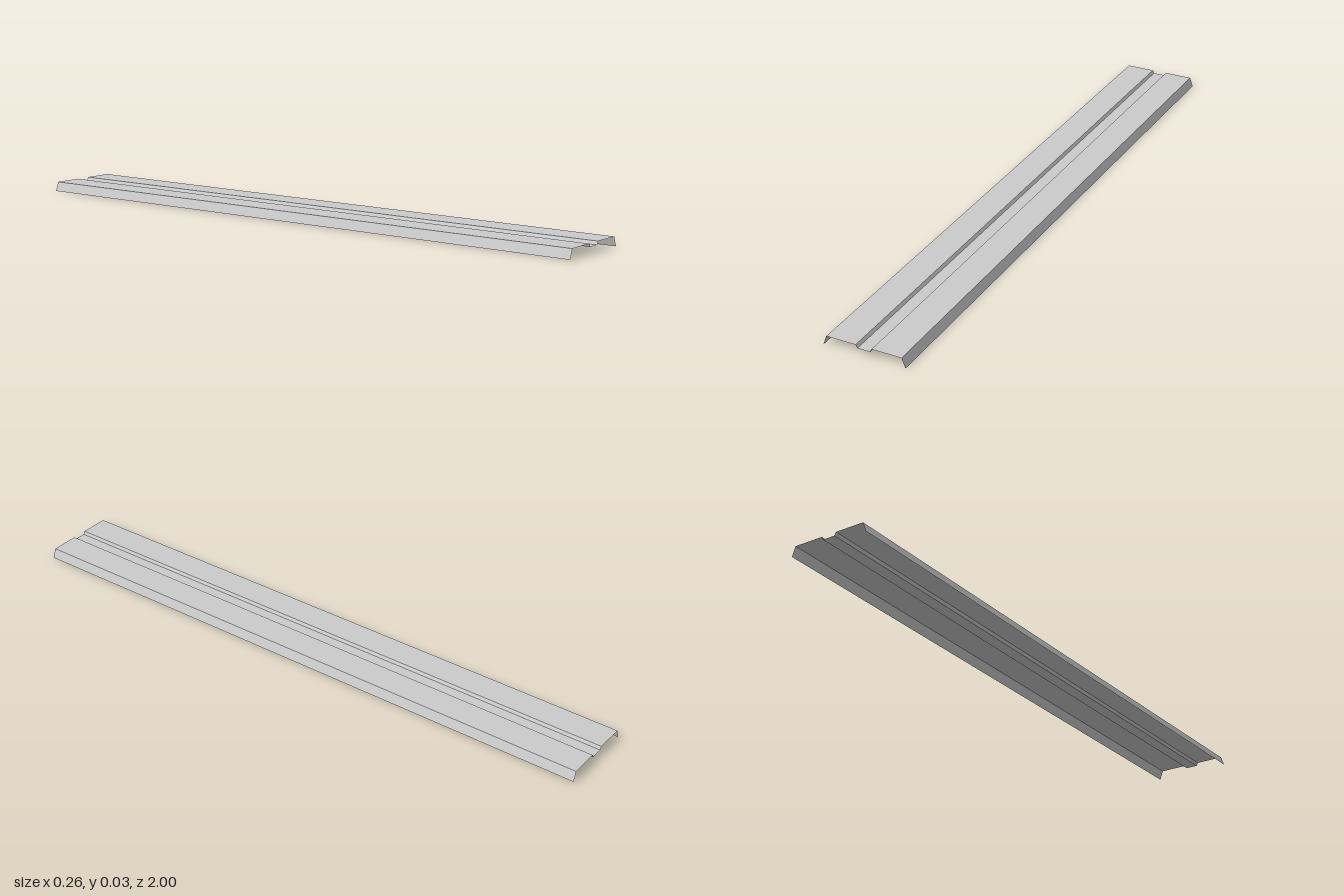
import * as THREE from 'three';

const LENGTH = 2;

// Half of the folded sheet's cross-section, from the outer lip to the groove floor
const HALF = [[0.129, 0], [0.118, 0.03], [0.025, 0.03], [0.02, 0.02]];

// Flat strip between two profile points, swept along z
function strip(name, [x0, y0], [x1, y1], material) {
  const h = LENGTH / 2;
  const geometry = new THREE.BufferGeometry();
  geometry.setAttribute('position', new THREE.Float32BufferAttribute(
    [x0, y0, h, x1, y1, h, x1, y1, -h, x0, y0, -h], 3));
  geometry.setIndex([0, 1, 2, 0, 2, 3]);
  geometry.computeVertexNormals();
  const mesh = new THREE.Mesh(geometry, material);
  mesh.name = name;
  return mesh;
}

export function createModel() {
  const group = new THREE.Group();
  group.name = 'foldedSheetSlat';
  const material = new THREE.MeshStandardMaterial({
    color: 0xcccccc, flatShading: true, side: THREE.DoubleSide,
  });

  // Profile runs left to right (-x to +x) so that front faces point up
  const profile = [...HALF.map(([x, y]) => [-x, y]), ...[...HALF].reverse()];
  const names = ['rightFlange', 'rightPanel', 'rightGrooveWall', 'grooveFloor',
    'leftGrooveWall', 'leftPanel', 'leftFlange'];
  names.forEach((name, i) => group.add(strip(name, profile[i], profile[i + 1], material)));
  return group;
}
